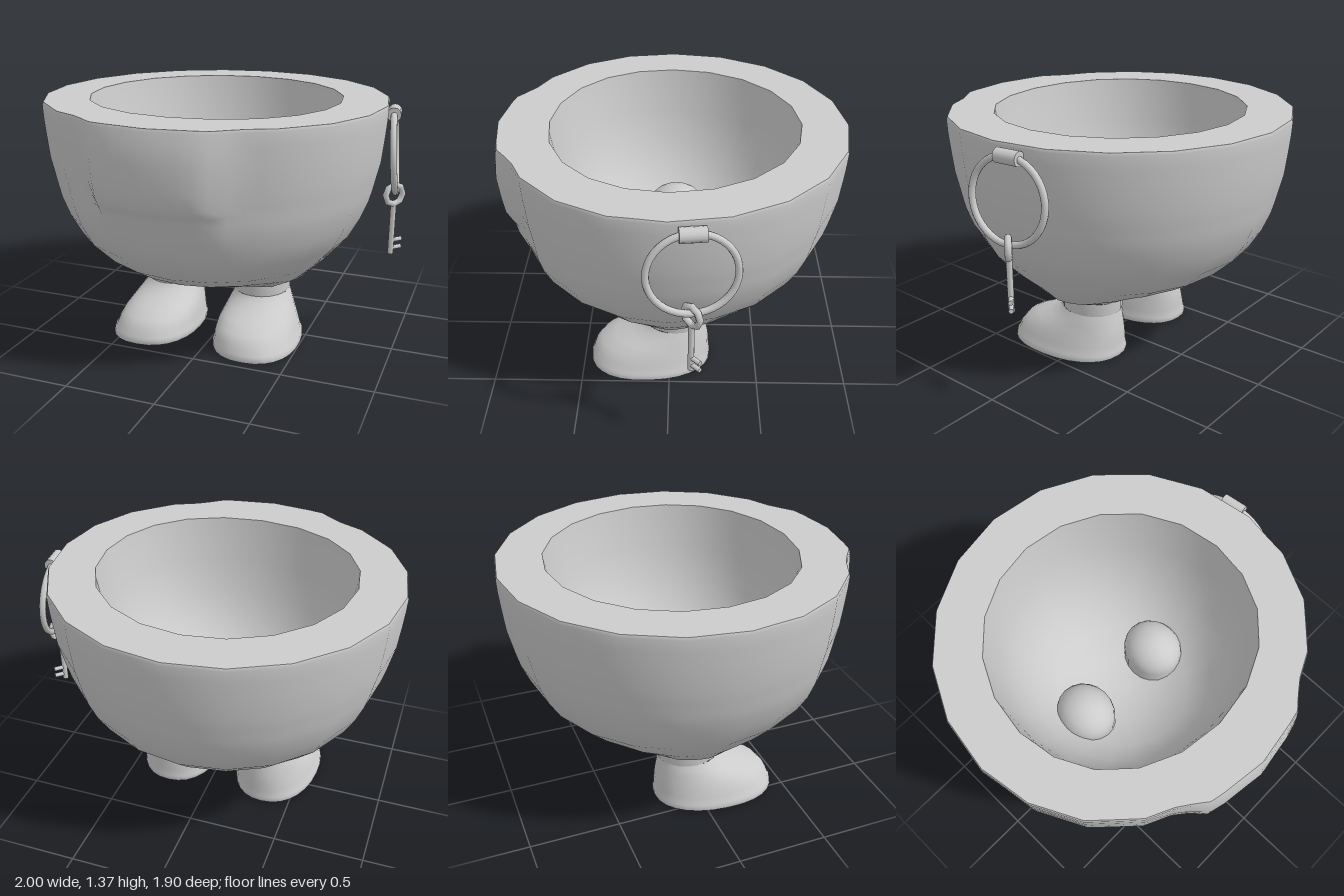
import * as THREE from 'three';
import { mergeVertices } from 'three/addons/utils/BufferGeometryUtils.js';

const material = new THREE.MeshStandardMaterial({ color: 0xcccccc });
const { smoothstep, lerp } = THREE.MathUtils;
const SIDES = 20, STEP = Math.PI * 2 / SIDES;

function add(parent, name, geometry, x = 0, y = 0, z = 0) {
  const mesh = new THREE.Mesh(geometry, material);
  mesh.name = name;
  mesh.position.set(x, y, z);
  parent.add(mesh);
  return mesh;
}

// Weld the seam of a lathe so that its shading is continuous
function lathe(profile, segments) {
  const g = new THREE.LatheGeometry(profile.map(([r, y]) => new THREE.Vector2(r, y)), segments, Math.PI);
  g.deleteAttribute('uv');
  g.deleteAttribute('normal');
  return mergeVertices(g, 1e-4);
}

// Soft front bulge with a lip along its lower edge
function bulgeDepth(x, y) {
  const edge = 0.47 - 0.08 * (1 - smoothstep(y, 0.9, 1.2));
  const across = 1 - smoothstep(Math.abs(x), 0.26, edge);
  const height = 0.03 * smoothstep(y, 0.72, 0.9) + 0.045 * smoothstep(y, 0.9, 0.985)
    - 0.03 * smoothstep(y, 1.2, 1.37);
  return across * height;
}

// Bowl surface: flattened front, sockets over the legs, 20-sided outline
function bowlSurface(profile, outside) {
  const g = lathe(profile, SIDES * 4);
  const p = g.attributes.position;
  for (let i = 0; i < p.count; i++) {
    let x = p.getX(i), y = p.getY(i), z = p.getZ(i);
    const r = Math.hypot(x, z);
    if (z > 0) {
      const flat = smoothstep(y, 0.4, 1.1);
      x *= 1 + 0.06 * flat * (z / r) ** 2;
      z *= lerp(1.03, 0.93, flat);
      if (outside && r > 0.75) z += bulgeDepth(x, y);
    }
    if (outside && y < 0.7) {
      const d = ((Math.abs(x) - 0.42) / 0.22) ** 2 + ((z + 0.02) / 0.26) ** 2;
      y = Math.max(0.328, y - 0.1 * Math.exp(-d));
    }
    p.setXYZ(i, x, y, z);
  }
  g.computeVertexNormals();
  // Pull the points onto the chords, keeping the smooth normals
  const full = lathe(profile, SIDES * 4).attributes.position;
  for (let i = 0; i < p.count; i++) {
    const a = Math.atan2(full.getX(i), full.getZ(i)) + Math.PI * 2;
    const k = Math.cos(STEP / 2) / Math.cos(a % STEP - STEP / 2);
    p.setXYZ(i, p.getX(i) * k, p.getY(i), p.getZ(i) * k);
  }
  return g;
}

function makeBowl() {
  const bowl = new THREE.Group();
  bowl.name = 'bowl';
  bowl.position.x = -0.05;
  add(bowl, 'bowlOutside', bowlSurface([
    [0, 0.345], [0.13, 0.345], [0.26, 0.35], [0.4, 0.395], [0.53, 0.45], [0.65, 0.525],
    [0.77, 0.64], [0.832, 0.745], [0.873, 0.845], [0.888, 0.9], [0.898, 0.94], [0.908, 0.985],
    [0.928, 1.07], [0.942, 1.2], [0.95, 1.29], [0.953, 1.355], [0.947, 1.37]], true));
  add(bowl, 'rim', bowlSurface([[0.947, 1.37], [0.7, 1.37]], true));
  add(bowl, 'bowlInside', bowlSurface([
    [0.7, 1.37], [0.655, 1.12], [0.59, 0.93], [0.495, 0.77], [0.37, 0.65], [0.2, 0.565], [0, 0.53]], false));
  return bowl;
}

// Boot sections: [y, half width, back z, front z]
const BOOT_ROWS = [
  [0, 0.235, -0.225, 0.45], [0.006, 0.243, -0.235, 0.46], [0.032, 0.243, -0.235, 0.46],
  [0.04, 0.236, -0.23, 0.452], [0.08, 0.228, -0.228, 0.44], [0.13, 0.214, -0.225, 0.4],
  [0.165, 0.198, -0.22, 0.32], [0.2, 0.183, -0.213, 0.235], [0.23, 0.17, -0.206, 0.17],
  [0.262, 0.157, -0.2, 0.145]];
const BOOT_SIDES = 28;
const full = (v, low) => Math.sign(v) * Math.abs(v) ** (1 - 0.12 * low);

// One point on a full, egg-shaped boot section, the boot leaning outward toward the sole
function bootPoint([y, w, back, front], i, side) {
  const a = i / BOOT_SIDES * Math.PI * 2, low = 1 - y / 0.262;
  const z = (back + front) / 2 + full(Math.cos(a), low) * (front - back) / 2;
  const x = full(Math.sin(a), low) * w * (1 + 0.06 * Math.cos(a) * low);
  return [x + side * low * (0.027 + 0.03 * z), y, z];
}

function bootGeometry(side) {
  const n = BOOT_SIDES, pos = [], index = [];
  BOOT_ROWS.forEach((row, r) => {
    for (let i = 0; i < n; i++) {
      pos.push(...bootPoint(row, i, side));
      if (r > 0) {
        const j = (i + 1) % n, lo = (r - 1) * n, hi = r * n;
        index.push(lo + i, lo + j, hi + j, lo + i, hi + j, hi + i);
      }
    }
  });
  const g = new THREE.BufferGeometry();
  g.setAttribute('position', new THREE.Float32BufferAttribute(pos, 3));
  g.setIndex(index);
  g.computeVertexNormals();
  return g;
}

// Flat underside of a boot
function soleGeometry(side) {
  const points = [];
  for (let i = 0; i < BOOT_SIDES; i++) {
    const [x, , z] = bootPoint(BOOT_ROWS[0], i, side);
    points.push(new THREE.Vector2(x, z));
  }
  return new THREE.ShapeGeometry(new THREE.Shape(points)).rotateX(Math.PI / 2);
}

function makeLeg(side) {
  const leg = new THREE.Group();
  leg.name = side > 0 ? 'leftLeg' : 'rightLeg';
  leg.position.x = -0.05 + side * 0.275;
  add(leg, 'boot', bootGeometry(side));
  add(leg, 'sole', soleGeometry(side));
  // Ankle runs through the bowl floor and ends in a dome
  const profile = [[0.15, 0.255], [0.158, 0.262], [0.158, 0.4], [0.158, 0.66]];
  for (let i = 1; i <= 6; i++) {
    const a = i / 6 * Math.PI / 2;
    profile.push([0.158 * Math.cos(a), 0.66 + 0.15 * Math.sin(a)]);
  }
  const ankle = lathe(profile, 20).scale(1, 1, 1.11);
  ankle.computeVertexNormals();
  add(leg, 'ankle', ankle, 0, 0, -0.03);
  return leg;
}

function makeKeyRing() {
  const group = new THREE.Group();
  group.name = 'keyRing';

  // Large ring, leaning out at the bottom, held by a clasp
  const hanger = new THREE.Group();
  hanger.name = 'hanger';
  hanger.position.set(0.93, 1.105, -0.117);
  hanger.rotation.z = 0.075;
  const turned = new THREE.Group();
  turned.name = 'ringAndClasp';
  turned.rotation.y = -Math.PI / 2 + 0.13;
  hanger.add(turned);
  add(turned, 'ring', new THREE.TorusGeometry(0.217, 0.018, 10, 40));
  const clasp = add(turned, 'clasp', new THREE.CylinderGeometry(0.038, 0.038, 0.13, 12), 0, 0.211, 0);
  clasp.rotation.z = Math.PI / 2;
  group.add(hanger);

  // Small key hanging from the ring
  const key = new THREE.Group();
  key.name = 'key';
  key.position.set(0.94, 0, -0.117);
  key.rotation.y = Math.PI / 4;
  add(key, 'keyBow', new THREE.TorusGeometry(0.055, 0.018, 8, 8), 0, 0.868, 0);
  add(key, 'keyShaft', new THREE.CylinderGeometry(0.016, 0.016, 0.29, 10), 0, 0.672, 0);
  for (const y of [0.56, 0.605]) {
    const tooth = add(key, 'keyTooth', new THREE.CylinderGeometry(0.013, 0.013, 0.063, 8), 0.0315, y, 0);
    tooth.rotation.z = Math.PI / 2;
  }
  group.add(key);
  return group;
}

export function createModel() {
  const model = new THREE.Group();
  model.name = 'bowlWithBoots';
  model.add(makeBowl(), makeLeg(-1), makeLeg(1), makeKeyRing());
  return model;
}
